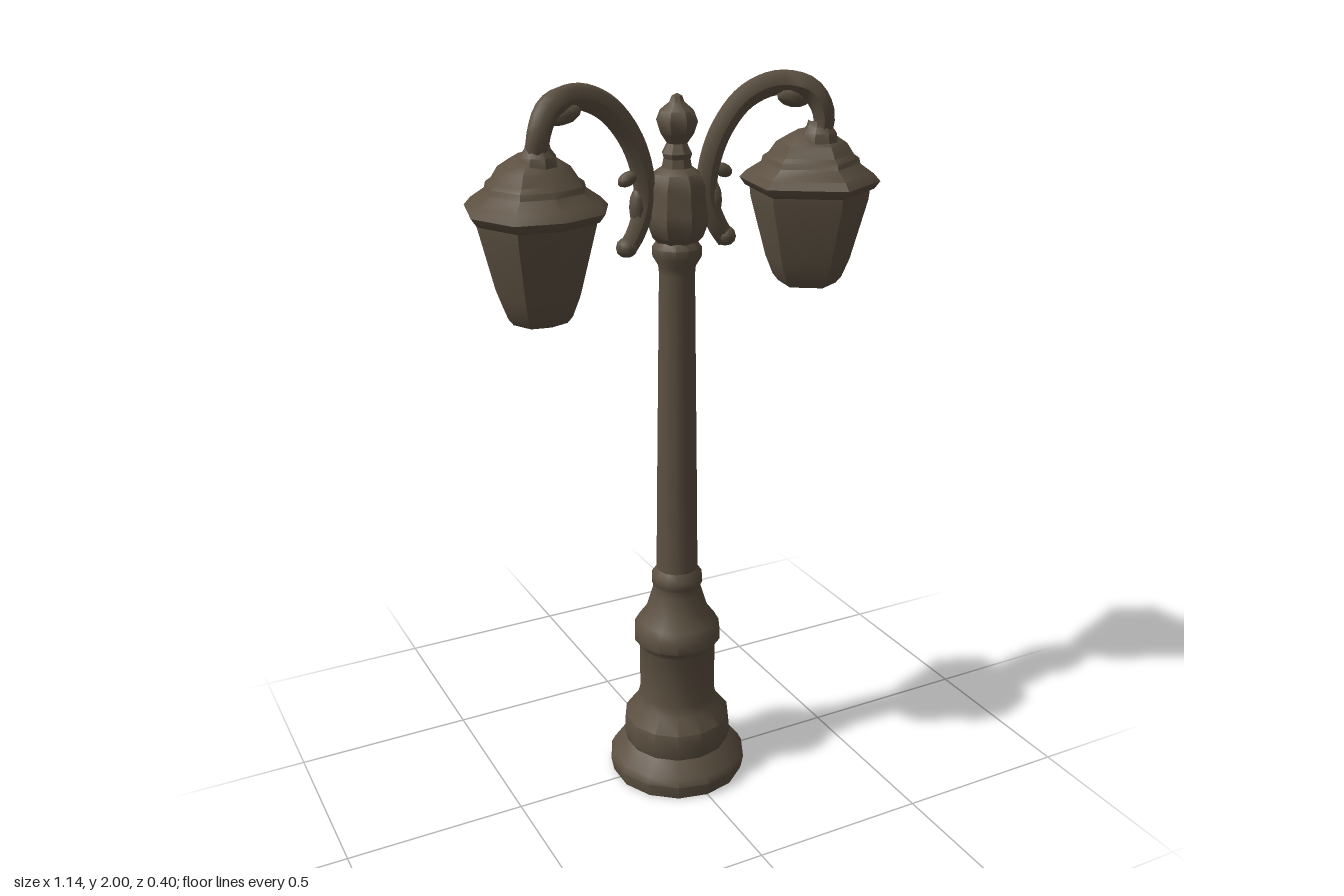
import * as THREE from 'three';
import { toCreasedNormals } from 'three/addons/utils/BufferGeometryUtils.js';

const bronze = new THREE.MeshStandardMaterial({ color: 0x5c5041 });
bronze.name = 'dark bronze';

function add(parent, name, geometry) {
  const mesh = new THREE.Mesh(geometry, bronze);
  mesh.name = name;
  parent.add(mesh);
  return mesh;
}

// Turned part from [radius, height] pairs, bottom to top
function turned(profile, sides) {
  const points = profile.map(([r, y]) => new THREE.Vector2(r, y));
  return toCreasedNormals(new THREE.LatheGeometry(points, sides), 0.7);
}

// Stack of scaled copies of an irregular outline; levels are [scale, height]
function loft(outline, cx, cz, levels, crease) {
  const n = outline.length, positions = [], index = [];
  levels.forEach(([s, y], i) => {
    outline.forEach(([x, z], j) => {
      positions.push(cx + (x - cx) * s, y, cz + (z - cz) * s);
      if (i === levels.length - 1) return;
      const a = i * n + j, b = i * n + (j + 1) % n;
      index.push(a, a + n, b, b, a + n, b + n);
    });
  });
  const geometry = new THREE.BufferGeometry();
  geometry.setAttribute('position', new THREE.Float32BufferAttribute(positions, 3));
  geometry.setIndex(index);
  return toCreasedNormals(geometry, crease);
}

// Arm tube, flattened in z and tapered towards both ends
function armGeometry(side) {
  const path = new THREE.CatmullRomCurve3([
    [0.145, 1.575, 0], [0.118, 1.615, 0], [0.09, 1.69, -0.005], [0.095, 1.77, -0.005],
    [0.13, 1.86, -0.003], [0.195, 1.935, 0.002], [0.28, 1.968, 0.018],
    [0.36, 1.95, 0.045], [0.395, 1.89, 0.06], [0.395, 1.81, 0.045],
  ].map(([x, y, z]) => new THREE.Vector3(x * side, y, z)));
  const segments = 36, sides = 8;
  const geometry = new THREE.TubeGeometry(path, segments, 0.033, sides);
  const p = geometry.attributes.position, v = new THREE.Vector3();
  for (let i = 0; i <= segments; i++) {
    const t = i / segments, c = path.getPointAt(t);
    const s = 0.8 + 0.2 * Math.sin(Math.PI * t);
    for (let j = 0; j <= sides; j++) {
      const k = i * (sides + 1) + j;
      v.fromBufferAttribute(p, k).sub(c).multiplyScalar(s);
      p.setXYZ(k, c.x + v.x, c.y + v.y, c.z + v.z * (t < 0.75 ? 0.7 : 0.95));
    }
  }
  geometry.computeVertexNormals();
  return geometry;
}

// Small cast ornament: a stretched, tilted blob
function ornament(parent, name, x, y, z, size, tilt) {
  const mesh = add(parent, name, new THREE.SphereGeometry(1, 8, 6));
  mesh.position.set(x, y, z);
  mesh.scale.set(...size);
  mesh.rotation.z = tilt;
}

const rims = {
  right: [[-0.385, -0.172], [-0.235, -0.115], [-0.215, 0.05], [-0.27, 0.155],
    [-0.39, 0.2], [-0.51, 0.18], [-0.57, 0.055], [-0.53, -0.11]],
  left: [[0.41, -0.175], [0.545, -0.115], [0.57, 0], [0.545, 0.115],
    [0.39, 0.2], [0.215, 0.085], [0.245, -0.11]],
};

export function createModel() {
  const model = new THREE.Group();
  model.name = 'doubleStreetLamp';

  // Stepped base and tapered pole
  add(model, 'base', turned([
    [0, 0], [0.192, 0], [0.2, 0.04], [0.19, 0.06], [0.15, 0.1], [0.157, 0.13],
    [0.152, 0.18], [0.118, 0.22], [0.11, 0.25], [0.11, 0.41], [0.124, 0.43],
    [0.124, 0.465], [0.11, 0.49], [0.088, 0.52], [0.07, 0.58], [0.068, 0.6],
    [0.073, 0.61], [0.072, 0.63], [0.058, 0.65],
  ], 14));
  add(model, 'pole', turned([
    [0.058, 0.64], [0.055, 0.9], [0.051, 1.2], [0.047, 1.5],
    [0.049, 1.52], [0.064, 1.545], [0.065, 1.57], [0.05, 1.59],
  ], 12));

  // Hub where the arms meet, topped by a finial
  add(model, 'hub', turned([
    [0.05, 1.58], [0.07, 1.6], [0.083, 1.635], [0.083, 1.66], [0.076, 1.7],
    [0.076, 1.73], [0.062, 1.76], [0.04, 1.775], [0.035, 1.8],
  ], 8));
  add(model, 'finial', turned([
    [0.03, 1.78], [0.04, 1.81], [0.027, 1.835], [0.045, 1.86], [0.055, 1.89],
    [0.045, 1.915], [0.02, 1.935], [0.014, 1.95], [0, 1.957],
  ], 8));

  for (const [name, side] of [['right', -1], ['left', 1]]) {
    // Scrolled arm with leaves
    const arm = new THREE.Group();
    arm.name = name + 'Arm';
    model.add(arm);
    add(arm, 'armTube', armGeometry(side));
    ornament(arm, 'footScroll', 0.143 * side, 1.583, 0, [0.03, 0.026, 0.026], 0);
    ornament(arm, 'outerLeaf', 0.135 * side, 1.755, -0.005, [0.03, 0.018, 0.018], -0.4 * side);
    ornament(arm, 'lowerLeaf', 0.11 * side, 1.68, -0.005, [0.022, 0.05, 0.022], 0);
    ornament(arm, 'archLeaf', 0.32 * side, 1.93, 0.03, [0.05, 0.025, 0.026], -0.2 * side);

    // Lantern: faceted body under a brimmed, domed roof
    const lantern = new THREE.Group();
    lantern.name = name + 'Lantern';
    model.add(lantern);
    const rim = rims[name], cx = 0.393 * side, cz = 0.015;
    add(lantern, 'lanternBody', loft(rim, cx, cz, [
      [0, 1.425], [0.22, 1.425], [0.28, 1.44], [0.42, 1.432], [0.5, 1.45],
      [0.61, 1.5], [0.84, 1.66], [0.86, 1.695],
    ], 0.5));
    add(lantern, 'lanternRoof', loft(rim, cx, cz, [
      [0.8, 1.68], [0.92, 1.69], [1, 1.71], [0.9, 1.73], [0.7, 1.755], [0.68, 1.77],
      [0.6, 1.78], [0.5, 1.808], [0.33, 1.828], [0.2, 1.842], [0, 1.846],
    ], 0.75));
    // Collar joining the arm to the roof
    const collar = add(lantern, 'collar', turned([
      [0.05, 1.815], [0.046, 1.84], [0.034, 1.855], [0.03, 1.87],
    ], 8));
    collar.position.set(0.393 * side, 0, 0.045);
  }
  return model;
}
